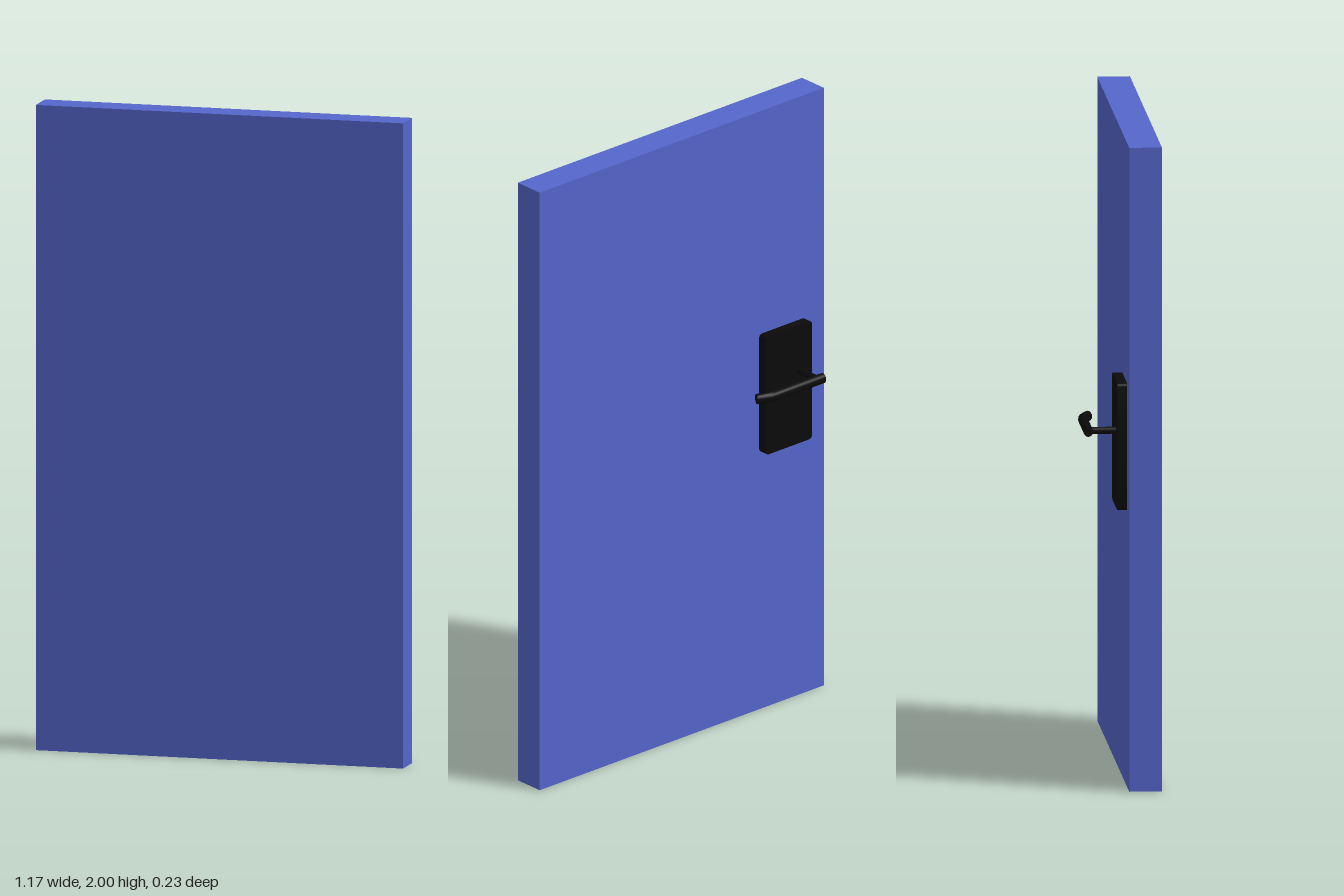
import * as THREE from 'three';
import { toCreasedNormals } from 'three/addons/utils/BufferGeometryUtils.js';

const blue = new THREE.MeshStandardMaterial({ color: 0x5566cc });
const black = new THREE.MeshStandardMaterial({ color: 0x0b0b0b });

function addPart(parent, name, geometry, material, x, y, z) {
  const mesh = new THREE.Mesh(geometry, material);
  mesh.name = name;
  mesh.position.set(x, y, z);
  parent.add(mesh);
  return mesh;
}

// Flat plate with slightly rounded corners
function plateGeometry(w, h, d, r) {
  const s = new THREE.Shape();
  const x = w / 2, y = h / 2;
  s.absarc(x - r, y - r, r, 0, Math.PI / 2);
  s.absarc(-x + r, y - r, r, Math.PI / 2, Math.PI);
  s.absarc(-x + r, -y + r, r, Math.PI, Math.PI * 1.5);
  s.absarc(x - r, -y + r, r, Math.PI * 1.5, Math.PI * 2);
  const g = new THREE.ExtrudeGeometry(s, { depth: d, bevelEnabled: false, curveSegments: 4 });
  return toCreasedNormals(g.translate(0, 0, -d / 2), 0.6);
}

// Round bar whose rings follow sections of [x, z, angle towards the door]
function leverGeometry(sections, radius) {
  const n = sections.length - 1;
  const g = new THREE.CylinderGeometry(radius, radius, n, 16, n);
  const p = g.attributes.position;
  for (let i = 0; i < p.count; i++) {
    const [x, z, a] = sections[Math.round(p.getY(i) + n / 2)];
    const side = p.getX(i);
    p.setXYZ(i, x - side * Math.sin(a), -p.getZ(i) * 1.1, z + side * Math.cos(a));
  }
  // The remapping mirrors the bar, so restore the outward winding if needed
  const a = new THREE.Vector3().fromBufferAttribute(p, g.index.getX(0));
  const b = new THREE.Vector3().fromBufferAttribute(p, g.index.getX(1));
  const c = new THREE.Vector3().fromBufferAttribute(p, g.index.getX(2));
  const normal = b.clone().sub(a).cross(c.clone().sub(a));
  const outward = a.add(b).add(c).divideScalar(3).sub(new THREE.Vector3(sections[0][0], 0, sections[0][1]));
  outward.x = 0;
  if (normal.dot(outward) < 0) g.index.array.reverse();
  return toCreasedNormals(g, 0.7);
}

export function createModel() {
  const model = new THREE.Group();
  model.name = 'door';

  // Plain door slab
  addPart(model, 'doorPanel', new THREE.BoxGeometry(1.166, 2, 0.1), blue, 0, 1, 0.065);

  // Handle on the back
  const handle = new THREE.Group();
  handle.name = 'handle';
  model.add(handle);
  addPart(handle, 'backPlate', plateGeometry(0.19, 0.395, 0.03, 0.012), black, -0.4125, 1.057, 0);

  const spindle = new THREE.CylinderGeometry(0.011, 0.011, 0.09, 16).rotateX(Math.PI / 2);
  addPart(handle, 'spindle', spindle, black, -0.457, 1.1, -0.058);

  // Lever with its tip bent back towards the door
  const sections = [
    [-0.475, -0.101, 0],
    [-0.275, -0.101, 0],
    [-0.258, -0.099, 0.22],
    [-0.219, -0.082, 0.44],
  ];
  addPart(handle, 'lever', leverGeometry(sections, 0.0148), black, 0, 1.1, 0);

  return model;
}
